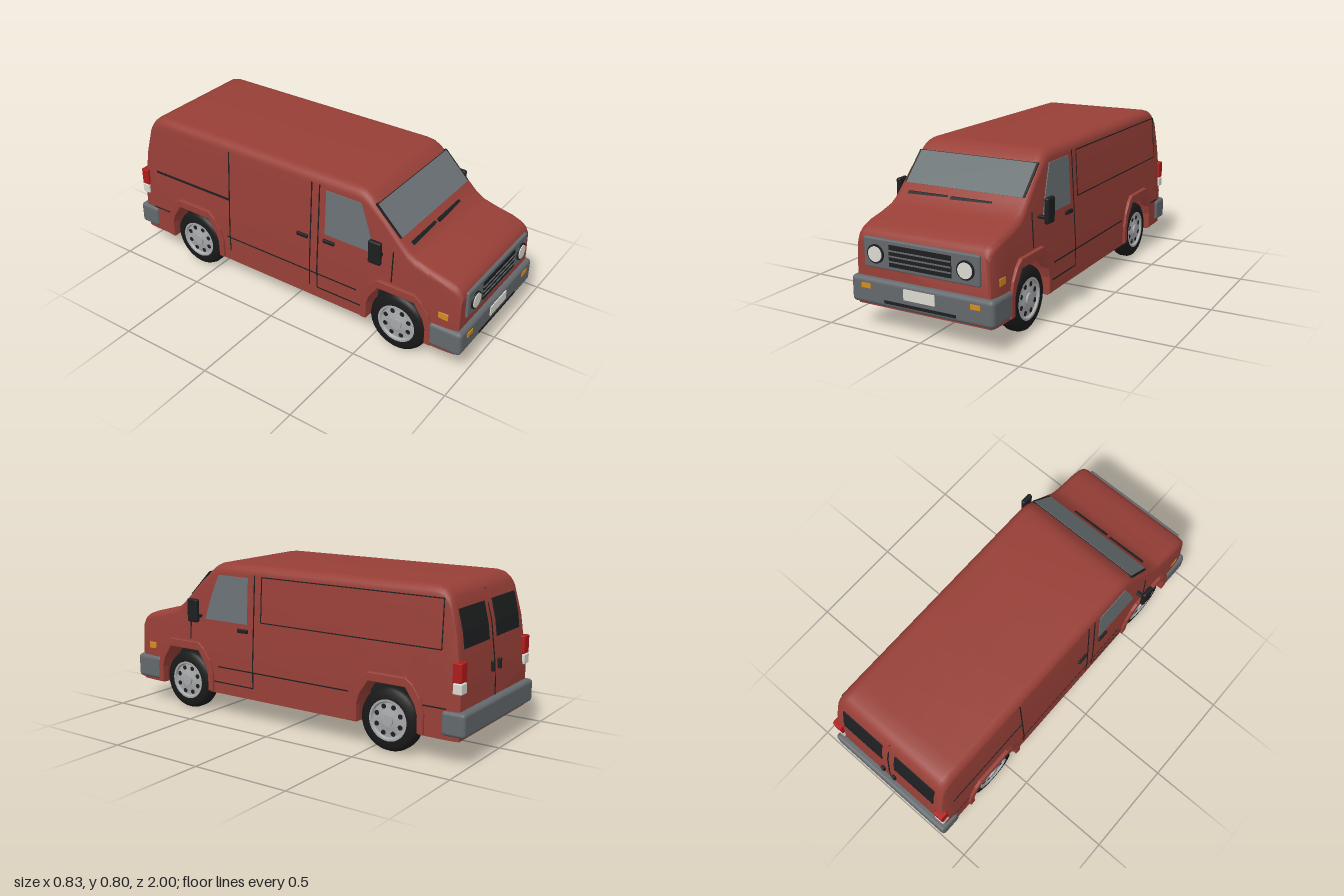
import * as THREE from 'three';
import { toCreasedNormals } from 'three/addons/utils/BufferGeometryUtils.js';
import { RoundedBoxGeometry } from 'three/addons/geometries/RoundedBoxGeometry.js';

const paint = (name, color) => Object.assign(new THREE.MeshStandardMaterial({ color }), { name });
const M = {
  red: paint('body red', 0x973f37), grey: paint('bumper grey', 0x63686c), glass: paint('window glass', 0x6a7174),
  black: paint('trim black', 0x1d1e1f), tyre: paint('tyre rubber', 0x191919), silver: paint('wheel silver', 0xa6a8aa),
  amber: paint('indicator amber', 0xd48c1c), white: paint('lamp white', 0xdad9d0), tail: paint('tail lamp red', 0xb01a1a),
};

// Profiles as [key, value] pairs: nose and tail as [y, z], flank as [y, half width]
const NOSE = [[0.44, 0.97], [0.465, 0.955], [0.482, 0.93], [0.5, 0.88], [0.517, 0.8], [0.54, 0.72], [0.565, 0.68],
  [0.605, 0.64], [0.755, 0.49], [0.78, 0.46], [0.795, 0.43], [0.8, 0.39]];
const TAIL = [[0.34, -0.965], [0.4, -0.96], [0.6, -0.935], [0.745, -0.9], [0.77, -0.885], [0.79, -0.86], [0.8, -0.82]];
const FLANK = [[0.12, 0.362], [0.3, 0.362], [0.74, 0.335], [0.8, 0.331]];
const TOP = [...TAIL, ...[...NOSE].reverse()].map(([y, z]) => [z, y]);
const ARCH = [[-0.165, 0.21], [-0.15, 0.26], [-0.1, 0.335], [0.1, 0.335], [0.15, 0.26], [0.165, 0.21]];
const FLARE = [[-0.19, 0.22], [-0.172, 0.29], [-0.135, 0.345], [-0.1, 0.372], [0.1, 0.372], [0.135, 0.345], [0.172, 0.29], [0.19, 0.22]];
const AXLES = [0.645, -0.6];
const FLOOR = 0.12;

function lookup(table, k) {
  if (k <= table[0][0]) return table[0][1];
  for (let i = 1; i < table.length; i++) {
    const [k0, v0] = table[i - 1], [k1, v1] = table[i];
    if (k <= k1) return v0 + (v1 - v0) * (k - k0) / (k1 - k0);
  }
  return table[table.length - 1][1];
}

function add(parent, name, geo, mat, x = 0, y = 0, z = 0) {
  const m = new THREE.Mesh(geo, mat);
  m.name = name;
  m.position.set(x, y, z);
  parent.add(m);
  return m;
}
const box = (w, h, d, r = 0) => r ? new RoundedBoxGeometry(w, h, d, 3, r) : new THREE.BoxGeometry(w, h, d);
const shapeOf = pts => new THREE.Shape(pts.map(p => new THREE.Vector2(...p)));
const rect = (a0, a1, y0, y1) => [[a0, y0], [a1, y0], [a1, y1], [a0, y1]];

// Thin plate that follows one side of the body; points are [z, y] on flanks and [x, y] on the ends
const FACES = {
  left: (a, y, c) => [lookup(FLANK, y) + c, y, -a], right: (a, y, c) => [-lookup(FLANK, y) - c, y, a],
  front: (a, y, c) => [a, y, lookup(NOSE, y) + c], back: (a, y, c) => [-a, y, lookup(TAIL, y) - c],
};
function skin(parent, name, mat, face, pts, rise = 0.004) {
  const s = face === 'left' || face === 'back' ? -1 : 1;
  const geo = new THREE.ExtrudeGeometry(shapeOf(pts.map(([a, y]) => [a * s, y])), { depth: 0.009, bevelEnabled: false });
  const p = geo.attributes.position;
  for (let i = 0; i < p.count; i++) p.setXYZ(i, ...FACES[face](p.getX(i), p.getY(i), p.getZ(i) - 0.009 + rise));
  geo.computeVertexNormals();
  return add(parent, name, geo, mat);
}
function seam(parent, face, a, y0, y1, w = 0.006) {
  const cuts = [y0, 0.3, 0.4, 0.6, y1].filter(y => y >= y0 && y <= y1);
  for (let i = 1; i < cuts.length; i++) skin(parent, 'seam', M.black, face, rect(a - w / 2, a + w / 2, cuts[i - 1], cuts[i]), 0.002);
}
const line = (parent, face, a0, a1, y, h = 0.006) => skin(parent, 'seam', M.black, face, rect(a0, a1, y - h / 2, y + h / 2), 0.002);

// Body shell: rounded sections joined along z, cut upward over the axles
function bodyShell() {
  const zs = TOP.map(t => t[0]).concat([-0.95, -0.3, 0.1]);
  for (const c of AXLES) for (const o of [-0.1652, ...ARCH.map(a => a[0]), 0.1652]) zs.push(c + o);
  zs.sort((a, b) => a - b);
  const pos = [], idx = [];
  let n = 0;
  for (const z of zs) {
    const axle = AXLES.find(c => Math.abs(z - c) < 0.1651);
    const bot = axle === undefined ? FLOOR : lookup(ARCH, z - axle);
    const top = lookup(TOP, z), r = top > 0.7 ? 0.05 : 0.035;
    const k = lookup([[-0.965, 0.975], [-0.95, 0.99], [-0.9, 1], [0.9, 1], [0.95, 0.985], [0.97, 0.965]], z);
    const half = [[lookup(FLANK, bot), bot]];
    const mid = Math.max(bot + 0.001, 0.3);
    half.push([lookup(FLANK, mid), mid]);
    for (let i = 0; i <= 6; i++) {
      const t = i * Math.PI / 12, y = top - r + r * Math.sin(t);
      half.push([lookup(FLANK, top - r) - r + r * Math.cos(t), y]);
    }
    const ring = [...half, ...half.map(([x, y]) => [-x, y]).reverse()];
    n = ring.length;
    for (const [x, y] of ring) pos.push(x * k, y, z);
  }
  for (let i = 0; i < zs.length - 1; i++) for (let j = 0; j < n; j++) {
    const a = i * n + j, b = i * n + (j + 1) % n;
    idx.push(a, b, b + n, a, b + n, a + n);
  }
  const last = (zs.length - 1) * n;
  for (let j = 1; j < n - 1; j++) idx.push(0, j + 1, j, last, last + j, last + j + 1);
  const geo = new THREE.BufferGeometry();
  geo.setAttribute('position', new THREE.Float32BufferAttribute(pos, 3));
  geo.setIndex(idx);
  return toCreasedNormals(geo, 0.6);
}

// Wheel with its outer face towards +x
function wheel() {
  const g = new THREE.Group();
  g.name = 'wheel';
  const turned = pts => new THREE.LatheGeometry(pts.map(p => new THREE.Vector2(...p)), 40).rotateZ(-Math.PI / 2);
  const disc = (r, d) => new THREE.CylinderGeometry(r, r, d, 32).rotateZ(-Math.PI / 2);
  add(g, 'tyre', toCreasedNormals(turned([[0, -0.044], [0.1, -0.045], [0.132, -0.044], [0.147, -0.034], [0.154, -0.018],
    [0.154, 0.018], [0.147, 0.034], [0.132, 0.044], [0.1, 0.045], [0.096, 0.03], [0, 0.03]]), 0.7), M.tyre);
  add(g, 'rim', toCreasedNormals(turned([[0.096, 0.028], [0.1, 0.046], [0.09, 0.046], [0.084, 0.036], [0.05, 0.038], [0.042, 0.041], [0, 0.041]]), 0.5), M.silver);
  add(g, 'hub', disc(0.028, 0.02), M.silver, 0.04);
  for (let i = 0; i < 8; i++) {
    const t = (i + 0.5) * Math.PI / 4;
    add(g, 'rimHole', disc(0.012, 0.006), M.black, 0.036, 0.068 * Math.cos(t), 0.068 * Math.sin(t));
  }
  return g;
}

export function createModel() {
  const van = new THREE.Group();
  van.name = 'van';
  add(van, 'bodyShell', bodyShell(), M.red);
  add(van, 'underbody', box(0.5, 0.24, 1.86), M.red, 0, FLOOR + 0.12, 0);

  // Wheels, arch flares and dark wheel wells
  for (const s of [1, -1]) for (const z of AXLES) {
    const w = wheel();
    w.position.set(s * 0.31, 0.154, z);
    if (s < 0) w.rotation.y = Math.PI;
    van.add(w);
    const band = shapeOf([[-0.19, 0.13], ...FLARE, [0.19, 0.13], [0.165, 0.13], ...[...ARCH].reverse(), [-0.165, 0.13]]);
    const flare = new THREE.ExtrudeGeometry(band, { depth: 0.03, bevelThickness: 0.006, bevelSize: 0.004, bevelSegments: 2 });
    add(van, 'archFlare', flare.rotateY(Math.PI / 2), M.red, s > 0 ? 0.339 : -0.369, 0, z);
    const well = new THREE.ExtrudeGeometry(shapeOf([[-0.165, 0.13], ...ARCH, [0.165, 0.13]]), { depth: 0.012, bevelEnabled: false });
    add(van, 'wheelWell', well.rotateY(Math.PI / 2), M.black, s > 0 ? 0.246 : -0.258, 0, z);
  }

  // Bumpers and front bumper details
  add(van, 'frontBumper', box(0.75, 0.128, 0.175, 0.022), M.grey, 0, 0.194, 0.9075);
  add(van, 'rearBumper', box(0.75, 0.115, 0.12, 0.018), M.grey, 0, 0.198, -0.94);
  add(van, 'plate', box(0.164, 0.05, 0.008), M.white, 0, 0.212, 0.996);
  add(van, 'bumperSlot', box(0.378, 0.014, 0.008), M.black, 0, 0.159, 0.994);

  // Grille panel with slats and round headlamps
  add(van, 'grillePanel', box(0.606, 0.14, 0.03, 0.008), M.grey, 0, 0.375, 0.968);
  add(van, 'grille', box(0.325, 0.1, 0.008), M.black, 0, 0.375, 0.983);
  for (const y of [0.349, 0.374, 0.399]) add(van, 'grilleSlat', box(0.325, 0.007, 0.008), M.grey, 0, y, 0.986);
  for (const s of [1, -1]) {
    const disc = (r, d) => new THREE.CylinderGeometry(r, r, d, 32).rotateX(Math.PI / 2);
    add(van, 'headlampRing', disc(0.044, 0.02), M.black, s * 0.235, 0.373, 0.98);
    add(van, 'headlamp', disc(0.036, 0.02), M.white, s * 0.235, 0.373, 0.984);
    add(van, 'frontIndicator', box(0.05, 0.023, 0.008), M.amber, s * 0.287, 0.22, 0.995);
    add(van, 'sideIndicator', box(0.02, 0.037, 0.052, 0.004), M.amber, s * 0.352, 0.314, 0.89);
    // Tail lamps
    add(van, 'tailLamp', box(0.055, 0.09, 0.045, 0.005), M.tail, s * 0.338, 0.432, -0.951);
    add(van, 'reverseLamp', box(0.055, 0.05, 0.045, 0.005), M.white, s * 0.338, 0.36, -0.953);
    // Door mirrors
    add(van, 'mirror', box(0.025, 0.122, 0.068, 0.01), M.black, s * 0.403, 0.552, 0.545);
    add(van, 'mirrorArm', box(0.06, 0.016, 0.022, 0.005), M.black, s * 0.37, 0.515, 0.545);
  }

  // Windscreen and wipers
  skin(van, 'windscreenSurround', M.black, 'front', rect(-0.323, 0.323, 0.616, 0.749), 0.003);
  skin(van, 'windscreen', M.glass, 'front', rect(-0.313, 0.313, 0.617, 0.748), 0.006);
  for (const x of [-0.277, -0.043]) {
    skin(van, 'wiper', M.black, 'front', [[x, 0.575], [x + 0.215, 0.581], [x + 0.215, 0.587], [x, 0.586]], 0.008);
  }

  // Cab doors
  for (const f of ['left', 'right']) {
    const s = f === 'left' ? 1 : -1;
    skin(van, 'doorWindow', M.glass, f, [[0.23, 0.503], [0.508, 0.503], [0.475, 0.61], [0.425, 0.738], [0.23, 0.738]], 0.004);
    seam(van, f, 0.19, 0.18, 0.755);
    seam(van, f, 0.61, 0.385, 0.55);
    line(van, f, 0.19, 0.455, 0.18);
    line(van, f, -0.785, -0.9, 0.262);
    line(van, f, 0.42, -0.385, 0.262);
    add(van, 'doorHandle', box(0.014, 0.02, 0.066, 0.005), M.black, s * 0.358, 0.468, 0.257);
  }

  // Pressed panel on the left flank
  for (const y of [0.522, 0.748]) line(van, 'left', -0.865, 0.145, y, 0.005);
  for (const z of [-0.865, 0.145]) seam(van, 'left', z, 0.522, 0.748, 0.005);

  // Sliding door on the right flank
  seam(van, 'right', 0.145, 0.18, 0.755);
  seam(van, 'right', -0.365, 0.18, 0.755);
  line(van, 'right', -0.87, -0.365, 0.485, 0.012);
  add(van, 'slidingDoorHandle', box(0.014, 0.02, 0.066, 0.005), M.black, -0.358, 0.455, 0.1);

  // Rear doors
  seam(van, 'back', 0, 0.25, 0.755, 0.008);
  for (const s of [1, -1]) {
    skin(van, 'rearWindow', M.black, 'back', rect(s * 0.04, s * 0.292, 0.525, 0.6), 0.004);
    skin(van, 'rearWindow', M.black, 'back', rect(s * 0.04, s * 0.292, 0.6, 0.7), 0.004);
    add(van, 'rearDoorHandle', box(0.02, 0.05, 0.018, 0.005), M.black, s * 0.036, 0.4, -0.968);
  }
  return van;
}
